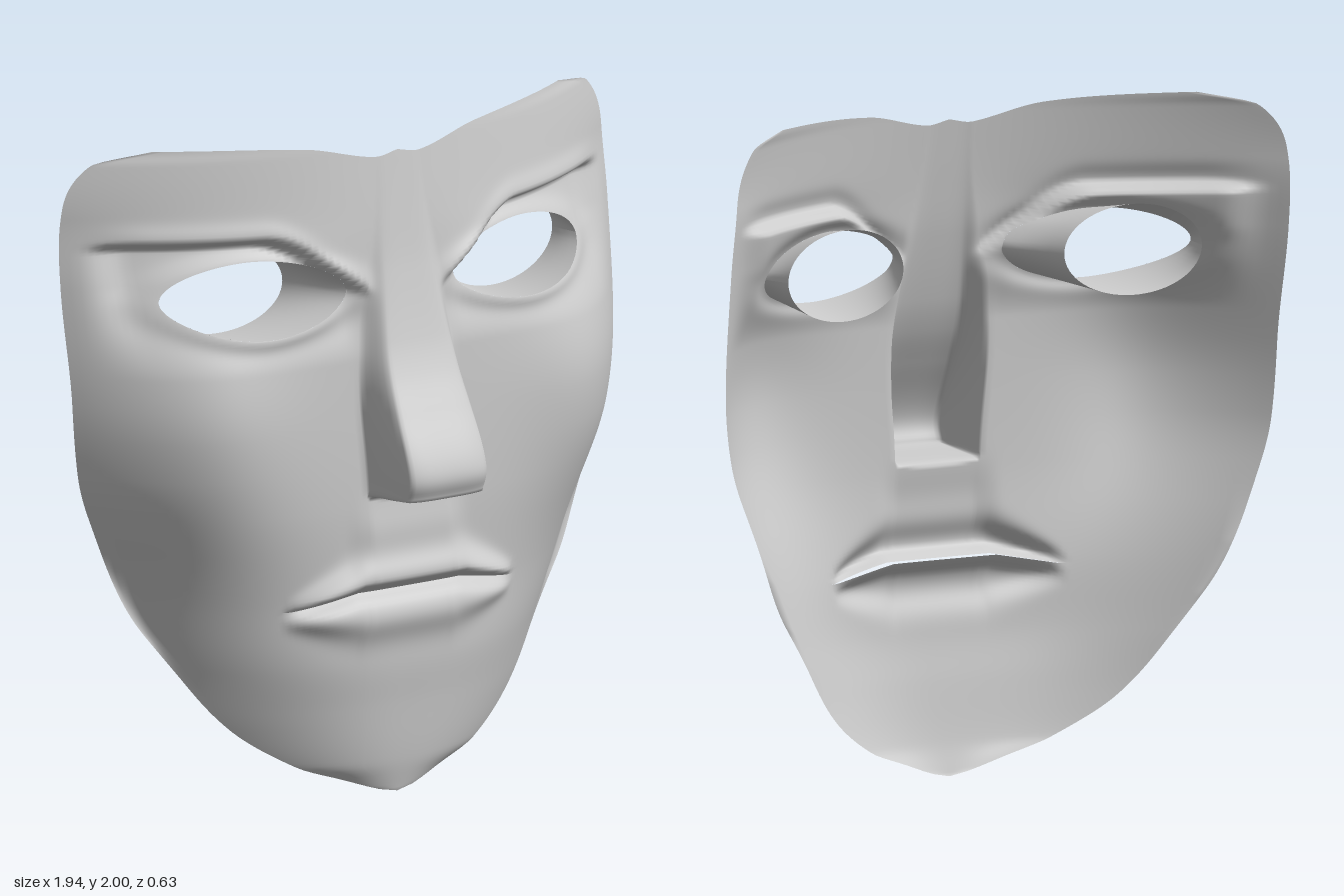
import * as THREE from 'three';
import { mergeGeometries, mergeVertices } from 'three/addons/utils/BufferGeometryUtils.js';

const { smoothstep, lerp, clamp } = THREE.MathUtils;
const bell = (d, w) => Math.exp(-((d / w) ** 2));

// Interpolates a table of [y, value] pairs with smooth tangents
function table(pts) {
  const slope = (i) => {
    const a = pts[Math.max(i - 1, 0)], b = pts[Math.min(i + 1, pts.length - 1)];
    return (b[1] - a[1]) / (b[0] - a[0]);
  };
  return (y) => {
    let i = 0;
    while (i < pts.length - 2 && y > pts[i + 1][0]) i++;
    const [y0, v0] = pts[i], [y1, v1] = pts[i + 1], h = y1 - y0;
    const t = clamp((y - y0) / h, 0, 1);
    return lerp(v0, v1, t * t * (3 - 2 * t)) + h * t * (1 - t) * ((1 - t) * slope(i) - t * slope(i + 1));
  };
}

// Half width, rim depth, centre depth and roundness of the face by height
const width = table([[0, 0], [0.012, 0.06], [0.05, 0.17], [0.1, 0.31], [0.22, 0.49], [0.41, 0.64],
  [0.64, 0.775], [0.9, 0.9], [1.03, 0.94], [1.25, 0.96], [1.8, 0.96], [1.96, 0.88], [2, 0.72]]);
const rimZ = table([[0, 0.03], [0.1, -0.035], [0.22, -0.115], [0.41, -0.19], [0.62, -0.245], [0.78, -0.265],
  [1.25, -0.262], [1.6, -0.303], [1.8, -0.317], [1.96, -0.28], [2, -0.19]]);
const midZ = table([[0, 0.028], [0.1, 0.05], [0.28, 0.07], [0.42, 0.085], [0.62, 0.08], [0.9, 0.09],
  [1.3, 0.08], [1.7, 0.06], [2, 0.02]]);
const power = table([[0, 2], [0.5, 2.8], [1.15, 4], [1.5, 2.9], [1.75, 2.1], [2, 2]]);
// Dip of the top edge by distance from the middle
const topDip = table([[0, 0.052], [0.08, 0.064], [0.3, 0.018], [0.72, 0], [1, 0]]);
// Nose profile, half width at its base, and the share of that taken by its flat front
const noseZ = table([[0.905, 0.08], [0.93, 0.13], [0.945, 0.285], [0.96, 0.3], [1, 0.315], [1.04, 0.31],
  [1.1, 0.285], [1.2, 0.23], [1.3, 0.178], [1.4, 0.14], [1.6, 0.088], [1.75, 0.06], [2, 0.02]]);
const noseBase = table([[0, 0.145], [0.93, 0.148], [1.3, 0.172], [1.65, 0.13], [2, 0.125]]);
const noseFlat = table([[0, 0.88], [1, 0.88], [1.3, 0.68], [1.7, 0.6], [2, 0.6]]);

const EYE = { x: 0.465, y: 1.55, a: 0.275, b: 0.11, n: 1.8 };
const eyeRadius = (x, y) => (Math.abs((x - EYE.x) / EYE.a) ** EYE.n
  + Math.abs((y - EYE.y) / EYE.b) ** EYE.n) ** (1 / EYE.n);

const MOUTH_Y = 0.64;
const mouthDrop = (x) => 0.04 * clamp((x - 0.18) / 0.21, 0, 1);

// Depth of the mask surface; upper tells which lip a point belongs to
function surfaceZ(xs, y, upper) {
  const x = Math.abs(xs);
  const t = Math.min(x / Math.max(width(y), 0.001), 1);
  let z = lerp(midZ(y), rimZ(y), t ** power(y));
  // cheekbone
  z += 0.045 * bell(x - 0.66, 0.22) * bell(y - 1.2, 0.32);
  // brow edge, curving down towards the nose, with the hollow beneath it
  const below = y - 1.728 + 0.2 * (1 - smoothstep(x, 0.05, 0.45));
  const hollow = (1 - smoothstep(below, -0.03, 0.008)) * smoothstep(y, 1.34, 1.6);
  z -= 0.062 * hollow * smoothstep(x, 0.1, 0.22) * (1 - smoothstep(x, 0.78, 0.93));
  z += 0.008 * bell(below - 0.02, 0.03) * smoothstep(x, 0.18, 0.4) * (1 - smoothstep(x, 0.75, 0.92));
  // lids
  z += 0.022 * bell(eyeRadius(x, y) - 1, 0.25);
  // lips, thinning to the corners, and the raised skin under the nose
  const d = y - MOUTH_Y + mouthDrop(x);
  const fullness = Math.max(0, 1 - (x / 0.4) ** 6);
  const height = lerp(1, 0.35, clamp((x - 0.16) / 0.23, 0, 1));
  if (upper) {
    const rise = d - 0.035 * height;
    z += 0.052 * fullness * bell(rise, (rise < 0 ? 0.03 : 0.065) * height);
    z += 0.02 * bell(y - 0.8, 0.09) * (1 - smoothstep(x, 0.12, 0.22));
  } else {
    z += fullness * (0.033 * bell(d + 0.085 * height, 0.065 * height) - 0.03 * bell(d, 0.025));
  }
  // nose
  if (y > 0.905) {
    const s = x / noseBase(y);
    const rise = noseZ(y) - 0.025 * Math.min(s, 1) ** 4 - z;
    z += Math.max(0, rise) * (1 - smoothstep(s, noseFlat(y), 1));
  }
  return z;
}

// One patch of the face between two heights, with the eyes left open
function facePatch(yLow, yHigh, rows, upper) {
  const half = 56, cols = half * 2 + 1;
  const pos = [], index = [], open = [];
  for (let j = 0; j <= rows; j++) {
    const row = lerp(yLow, yHigh, j / rows), w = width(row);
    const base = Math.min(noseBase(row), w * 0.5), ridge = base * noseFlat(row);
    for (let i = -half; i <= half; i++) {
      const u = Math.abs(i) / half, side = Math.sign(i);
      let x = u < 0.2 ? ridge * u / 0.2
        : u < 0.32 ? lerp(ridge, base, (u - 0.2) / 0.12)
          : lerp(base, w, (u - 0.32) / 0.68);
      // rows follow the mouth line and the dipped top edge
      let y = row - mouthDrop(x) * bell(row - MOUTH_Y, 0.15);
      y -= topDip(x) * smoothstep(row, 1.8, 2);
      // points inside an eye move out to its edge
      const r = eyeRadius(x, y);
      open.push(r < 1);
      if (r < 1) {
        const k = 1 / Math.max(r, 0.001);
        x = EYE.x + (x - EYE.x) * k;
        y = EYE.y + (y - EYE.y) * k;
      }
      pos.push(side * x, y, surfaceZ(x, y, upper));
    }
  }
  for (let j = 0; j < rows; j++) {
    for (let i = 0; i < cols - 1; i++) {
      const a = j * cols + i, b = a + 1, c = b + cols, d = a + cols;
      for (const tri of [[a, b, c], [a, c, d]]) if (!tri.every((v) => open[v])) index.push(...tri);
    }
  }
  const geo = new THREE.BufferGeometry();
  geo.setAttribute('position', new THREE.Float32BufferAttribute(pos, 3));
  geo.setIndex(index);
  return geo;
}

// Short wall running back from the edge of an eye, taller and narrower at the rear
function socketWall(side) {
  const seg = 64, rings = 4, pos = [], index = [];
  for (let j = 0; j <= rings; j++) {
    for (let i = 0; i <= seg; i++) {
      const ang = (i / seg) * Math.PI * 2, c = Math.cos(ang), s = Math.sin(ang);
      const reach = (n) => 1 / (Math.abs(c) ** n + Math.abs(s) ** n) ** (1 / n);
      const x0 = EYE.x + EYE.a * c * reach(EYE.n), y0 = EYE.y + EYE.b * s * reach(EYE.n);
      const x1 = 0.5 + 0.22 * c, y1 = EYE.y + 0.135 * s;
      const z0 = surfaceZ(x0, y0, true), z1 = Math.min(z0, -0.12 - 0.14 * x1);
      const t = j / rings;
      pos.push(side * lerp(x0, x1, t), lerp(y0, y1, t), lerp(z0, z1, t));
    }
  }
  for (let j = 0; j < rings; j++) {
    for (let i = 0; i < seg; i++) {
      const a = j * (seg + 1) + i, b = a + 1, c = b + seg + 1, d = a + seg + 1;
      if (side > 0) index.push(a, b, c, a, c, d);
      else index.push(a, c, b, a, d, c);
    }
  }
  const geo = new THREE.BufferGeometry();
  geo.setAttribute('position', new THREE.Float32BufferAttribute(pos, 3));
  geo.setIndex(index);
  geo.computeVertexNormals();
  return geo;
}

export function createModel() {
  const group = new THREE.Group();
  group.name = 'mask';
  const material = new THREE.MeshStandardMaterial({ color: 0xcccccc, side: THREE.DoubleSide });
  const add = (name, geo) => {
    const mesh = new THREE.Mesh(geo, material);
    mesh.name = name;
    group.add(mesh);
  };

  // the two patches join beside the mouth and part between the lips
  const face = mergeVertices(mergeGeometries([
    facePatch(0, MOUTH_Y, 56, false),
    facePatch(MOUTH_Y, 2, 150, true),
  ]), 1e-4);
  face.computeVertexNormals();
  add('face', face);

  add('leftEyeSocket', socketWall(1));
  add('rightEyeSocket', socketWall(-1));
  return group;
}
